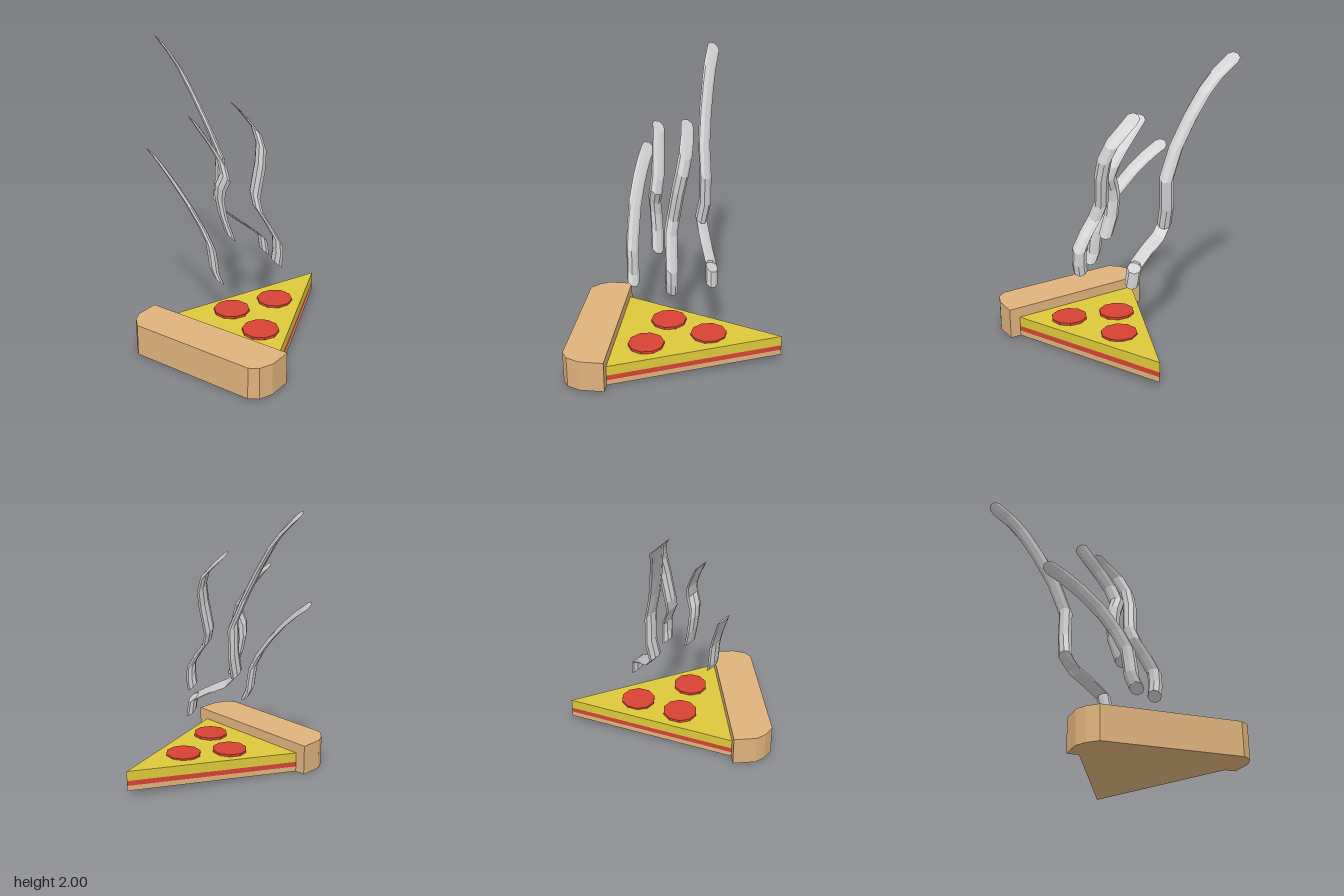
import * as THREE from 'three';

const mat = (color, extra = {}) => new THREE.MeshStandardMaterial({ color, flatShading: true, ...extra });
const doughMat = mat(0xdeb27c), cheeseMat = mat(0xdcc83a), redMat = mat(0xd64234);
const steamMat = mat(0xcccccc, { side: THREE.DoubleSide });

function add(group, name, geometry, material) {
  const mesh = new THREE.Mesh(geometry, material);
  mesh.name = name;
  group.add(mesh);
  return mesh;
}

// Upright prism over an outline of [x, z] points
function prism(points, y0, y1) {
  const shape = new THREE.Shape(points.map(([x, z]) => new THREE.Vector2(x, -z)));
  const g = new THREE.ExtrudeGeometry(shape, { depth: y1 - y0, bevelEnabled: false });
  return g.rotateX(-Math.PI / 2).translate(0, y0, 0);
}

// Slice layers rise slightly towards the tip
const BACK = 0.425, SLOPE = 0.05 / 1.145;
function tilt(g) {
  const p = g.attributes.position;
  for (let i = 0; i < p.count; i++) p.setY(i, p.getY(i) + SLOPE * (BACK - p.getZ(i)));
  g.computeVertexNormals();
  return g;
}

// A disc of fixed slant carried along a path, so the wisp is flat where it runs along the disc
const SIDES = 8, RADIUS = 0.049;
const discNormal = new THREE.Vector3(0.40, 0.72, -0.56).normalize();
const discU = new THREE.Vector3(0.81, 0, 0.58).addScaledVector(discNormal, -discNormal.dot(new THREE.Vector3(0.81, 0, 0.58))).normalize();
const discV = discNormal.clone().cross(discU);

function wisp(path) {
  const pos = [], index = [];
  for (const [x, y, z] of path) {
    for (let j = 0; j < SIDES; j++) {
      const a = (j / SIDES) * Math.PI * 2;
      const v = new THREE.Vector3(x, y, z)
        .addScaledVector(discU, RADIUS * Math.cos(a))
        .addScaledVector(discV, RADIUS * Math.sin(a));
      pos.push(v.x, v.y, v.z);
    }
  }
  const last = (path.length - 1) * SIDES;
  for (let i = 0; i < last; i += SIDES) {
    for (let j = 0; j < SIDES; j++) {
      const k = (j + 1) % SIDES;
      index.push(i + j, i + k, i + SIDES + k, i + j, i + SIDES + k, i + SIDES + j);
    }
  }
  for (let j = 1; j < SIDES - 1; j++) {
    index.push(0, j + 1, j, last, last + j, last + j + 1);
  }
  const g = new THREE.BufferGeometry();
  g.setAttribute('position', new THREE.Float32BufferAttribute(pos, 3));
  g.setIndex(index);
  g.computeVertexNormals();
  return g;
}

export function createModel() {
  const model = new THREE.Group();
  model.name = 'pizzaSlice';

  // Thick crust with chamfered outer corners
  const crust = [[-0.337, BACK], [-0.337, 0.59], [-0.3, 0.66], [-0.235, 0.72],
    [0.67, 0.72], [0.73, 0.68], [0.767, 0.59], [0.767, BACK]];
  add(model, 'crust', prism(crust, 0, 0.22), doughMat);

  // Dough, sauce and cheese
  const wedge = [[-0.26, BACK], [0.69, BACK], [0.26, -0.72]];
  add(model, 'doughBase', tilt(prism(wedge, 0, 0.038)), doughMat);
  add(model, 'sauceLayer', tilt(prism(wedge, 0.038, 0.074)), redMat);
  add(model, 'cheeseLayer', tilt(prism(wedge, 0.074, 0.145)), cheeseMat);

  // Round toppings
  for (const [x, y, z] of [[0.25, 0.178, -0.215], [0.085, 0.17, 0.085], [0.41, 0.167, 0.2]]) {
    const topping = add(model, 'salamiDisc', new THREE.CylinderGeometry(0.126, 0.126, 0.018, 10).rotateY(0.19), redMat);
    topping.position.set(x, y, z);
    topping.rotation.x = 0.02;
  }

  // Rising steam, each path from bottom to top
  const paths = [
    [[0.15, 0.53, -0.22], [0.13, 0.64, -0.22], [0, 0.72, -0.175], [-0.12, 0.785, -0.14], [-0.185, 0.86, -0.115],
      [-0.185, 1.0, -0.142], [-0.18, 1.2, -0.142], [-0.27, 1.4, -0.122], [-0.39, 1.6, -0.12],
      [-0.51, 1.77, -0.125], [-0.6, 1.865, -0.13], [-0.72, 1.962, -0.143]],
    [[0.125, 0.76, 0.155], [0.07, 0.9, 0.165], [0.05, 1.02, 0.175], [0.06, 1.1, 0.18], [0.09, 1.18, 0.165],
      [0.055, 1.27, 0.157], [-0.02, 1.37, 0.165], [-0.1, 1.46, 0.175], [-0.165, 1.535, 0.182]],
    [[0.41, 0.597, 0.023], [0.42, 0.67, 0.02], [0.415, 0.76, 0.02], [0.35, 0.86, 0.032], [0.27, 0.96, 0.042],
      [0.235, 1.05, 0.03], [0.25, 1.25, -0.005], [0.24, 1.37, -0.03], [0.19, 1.47, -0.045],
      [0.1, 1.55, -0.045], [0.025, 1.612, -0.037]],
    [[0.155, 0.51, 0.325], [0.12, 0.58, 0.33], [0.11, 0.66, 0.332], [0.095, 0.75, 0.335], [0.03, 0.86, 0.338],
      [-0.08, 1.0, 0.34], [-0.22, 1.135, 0.33], [-0.34, 1.23, 0.315], [-0.43, 1.29, 0.3]],
  ];
  const steam = new THREE.Group();
  steam.name = 'steam';
  for (const path of paths) add(steam, 'steamWisp', wisp(path), steamMat);
  model.add(steam);
  return model;
}
